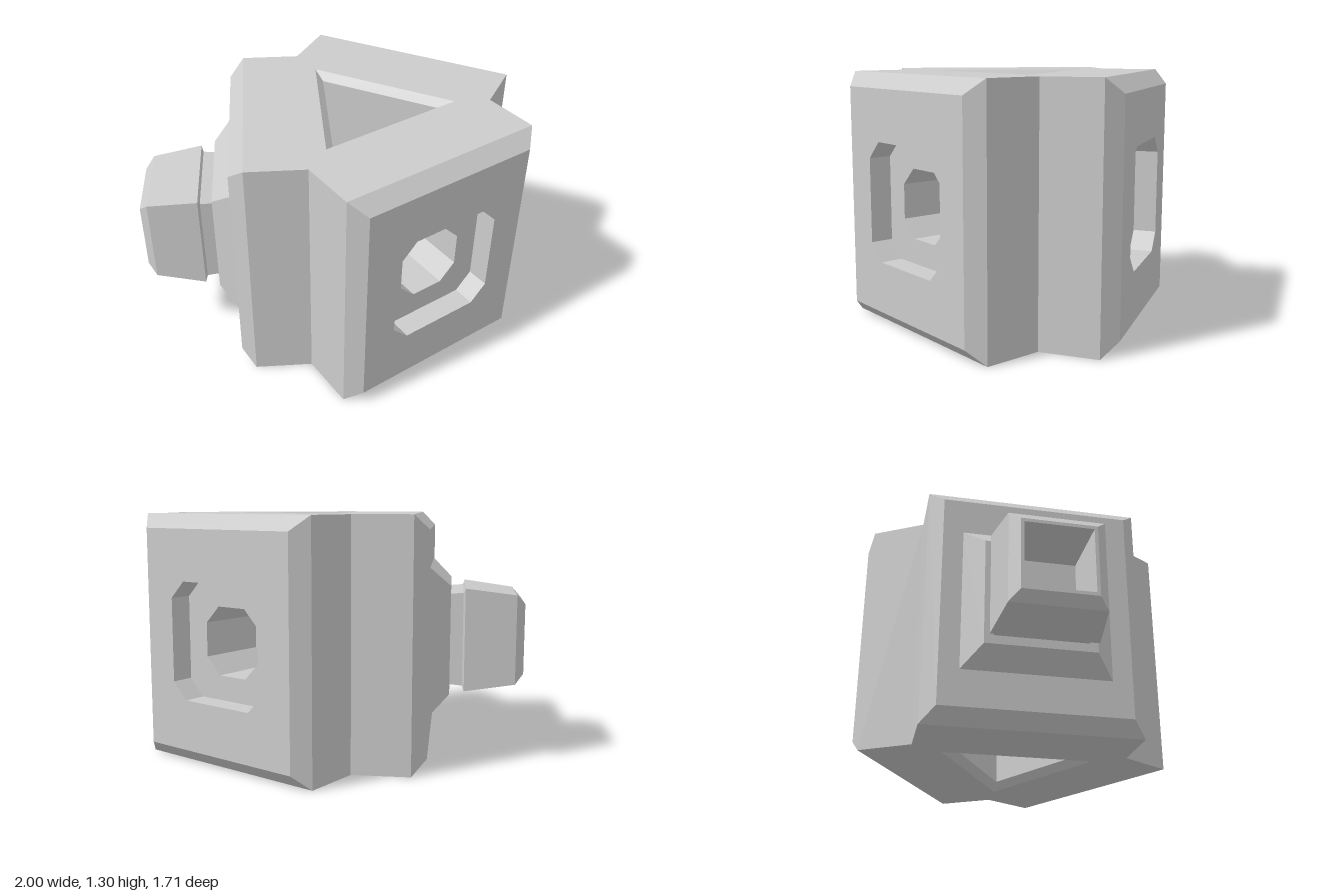
import * as THREE from 'three';

const W = 0.565, H = 0.6525;       // half width and half height of each arm
const SHOULDER = 0.63, FACE = 0.705, BEVEL = 0.075;
const INNER = W / Math.sqrt(3);    // distance at which neighbouring arms meet

const material = new THREE.MeshStandardMaterial({ color: 0xcccccc, flatShading: true });

function addMesh(parent, name, geometry) {
  const mesh = new THREE.Mesh(geometry, material);
  mesh.name = name;
  parent.add(mesh);
  return mesh;
}

// Counter-clockwise rectangle, or octagon when a corner cut is given
function block(w, h = w, cut = 0) {
  const signs = [[1, 1], [-1, 1], [-1, -1], [1, -1]];
  return signs.flatMap(([sx, sy]) => {
    if (!cut) return [[sx * w, sy * h]];
    const pair = [[sx * w, sy * (h - cut)], [sx * (w - cut), sy * h]];
    return sx * sy > 0 ? pair : pair.reverse();
  });
}

function triangle(r) {
  return [0, 1, 2].map(i => {
    const a = i * Math.PI * 2 / 3;
    return [r * Math.cos(a), r * Math.sin(a)];
  });
}

// Joins successive [outline, z] sections with flat quads
function loft(sections) {
  const pos = [];
  for (let i = 0; i + 1 < sections.length; i++) {
    const [lo, z0] = sections[i], [hi, z1] = sections[i + 1];
    lo.forEach((p, j) => {
      const k = (j + 1) % lo.length;
      const a = [...p, z0], b = [...lo[k], z0], c = [...hi[k], z1], d = [...hi[j], z1];
      pos.push(...a, ...b, ...c, ...a, ...c, ...d);
    });
  }
  const g = new THREE.BufferGeometry();
  g.setAttribute('position', new THREE.Float32BufferAttribute(pos, 3));
  g.computeVertexNormals();
  return g;
}

// Flat plate with an optional hole
function plate(outline, hole) {
  const vec = pts => pts.map(p => new THREE.Vector2(...p));
  const shape = new THREE.Shape(vec(outline));
  if (hole) shape.holes.push(new THREE.Path(vec(hole)));
  return new THREE.ShapeGeometry(shape);
}

// One arm pointing along +z: side walls, bevelled rim and end face
function createArm(name, hole) {
  const arm = new THREE.Group();
  arm.name = name;
  for (const s of [1, -1]) {
    const wall = addMesh(arm, 'sideWall', new THREE.PlaneGeometry(SHOULDER - INNER, 2 * H));
    wall.rotation.y = s * Math.PI / 2;
    wall.position.set(s * W, 0, (SHOULDER + INNER) / 2);
  }
  const end = block(W - BEVEL, H - BEVEL);
  addMesh(arm, 'bevelledRim', loft([[block(W, H), SHOULDER], [end, FACE]]));
  addMesh(arm, 'endFace', plate(end, hole)).position.z = FACE;
  return arm;
}

// Stepped octagonal socket sunk into an arm
function createSocketArm(name) {
  const wide = block(0.31, 0.31, 0.09), narrow = block(0.18, 0.18, 0.09);
  const arm = createArm(name, wide);
  addMesh(arm, 'octagonalSocket', loft([
    [wide, FACE], [wide, 0.585], [narrow, 0.585], [narrow, 0.215],
    [narrow.map(() => [0, 0]), 0.215],
  ]));
  return arm;
}

// Square plug: sloped base, neck, tapered head and hollow end
function createPlugArm(name) {
  const arm = createArm(name);
  const profile = [
    [0.385, FACE], [0.285, 0.81], [0.24, 0.81], [0.245, 0.875], [0.27, 0.885],
    [0.235, 1.15], [0.185, 1.195], [0.168, 1.195], [0.168, 0.85], [0, 0.85],
  ];
  addMesh(arm, 'squarePlug', loft(profile.map(([half, z]) => [block(half), z])));
  return arm;
}

// Star-shaped cap with a bevelled triangular pit, facing +z
function createCap(name) {
  const cap = new THREE.Group();
  cap.name = name;
  const outline = [];
  for (let i = 0; i < 3; i++) {
    const a = Math.PI / 3 + i * Math.PI * 2 / 3, c = Math.cos(a), s = Math.sin(a);
    for (const [r, t] of [[SHOULDER, -W], [SHOULDER, W], [INNER, W]]) {
      outline.push([r * c - t * s, r * s + t * c]);
    }
  }
  const rim = triangle(0.465), pit = triangle(0.39);
  addMesh(cap, 'capPlate', plate(outline, rim));
  addMesh(cap, 'triangularPit', loft([
    [rim, 0], [pit, -0.04], [pit, -0.48], [triangle(0), -0.48],
  ]));
  return cap;
}

export function createModel() {
  const model = new THREE.Group();
  model.name = 'threeWayConnector';
  const body = new THREE.Group();
  body.name = 'body';
  body.position.set(0.195, H, 0);
  model.add(body);

  // Three arms, 120 degrees apart
  const arms = [createPlugArm('plugArm'), createSocketArm('frontSocketArm'), createSocketArm('backSocketArm')];
  arms.forEach((arm, i) => {
    arm.rotation.y = -Math.PI / 2 + i * Math.PI * 2 / 3;
    body.add(arm);
  });

  // Matching caps above and below
  for (const s of [1, -1]) {
    const cap = createCap(s > 0 ? 'topCap' : 'bottomCap');
    cap.rotation.x = -s * Math.PI / 2;
    cap.position.y = s * H;
    body.add(cap);
  }
  return model;
}
